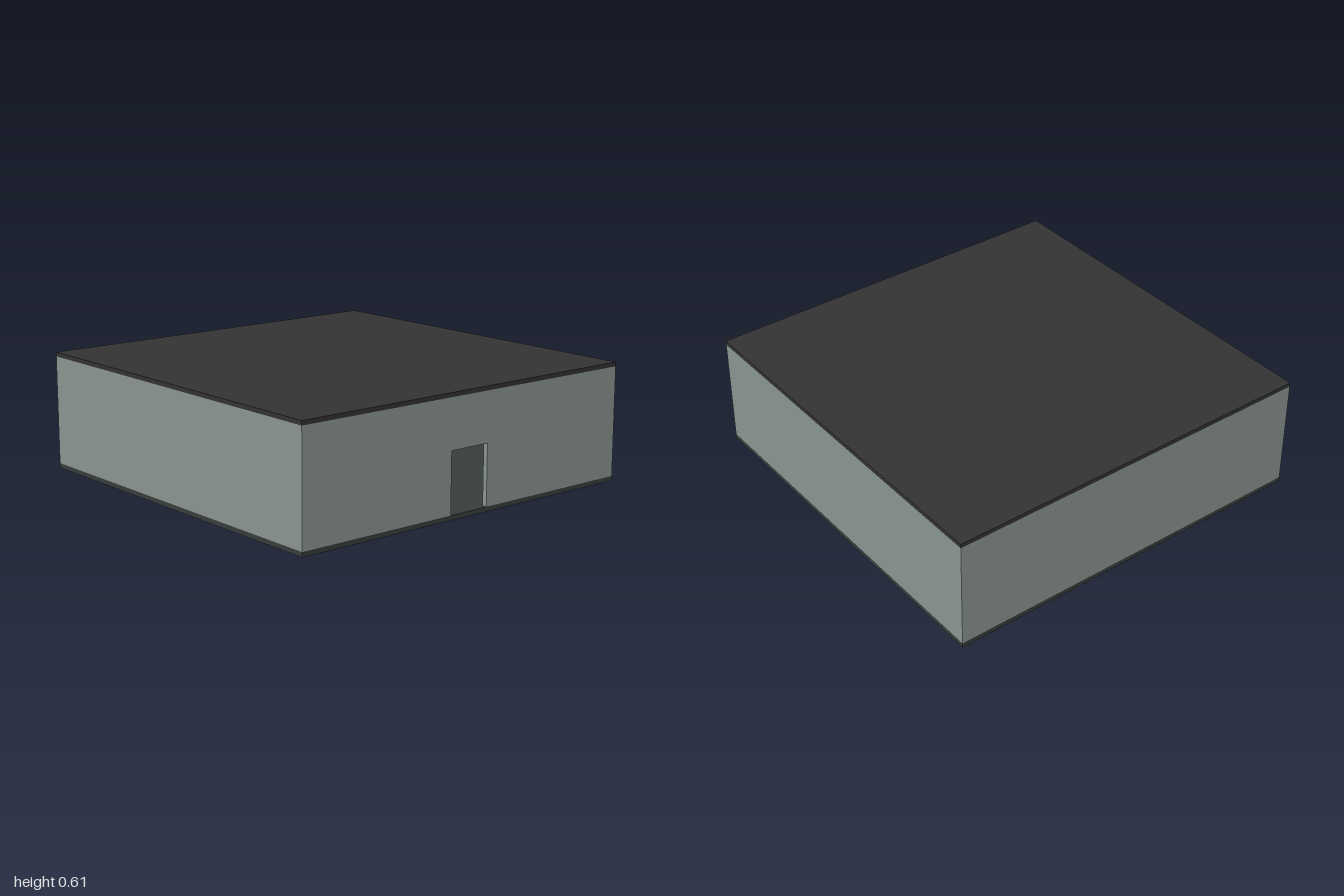
import * as THREE from 'three';

const FLOOR = 0.025, CEILING = 0.588, TOP = 0.61, WALL = 0.025;

const material = (color) => new THREE.MeshStandardMaterial({ color });

export function createModel() {
  const model = new THREE.Group();
  model.name = 'building';
  const wallMat = material(0x8a9592);
  const roofMat = material(0x333333);
  const floorMat = material(0x373e3c);
  const deskMat = material(0x2c3134);
  const tealMat = material(0x1a3030);
  const brownMat = material(0x3a241a);

  // Box given by its size, its base height and its centre in plan
  function box(name, mat, w, h, d, x, y, z, parent = model) {
    const mesh = new THREE.Mesh(new THREE.BoxGeometry(w, h, d), mat);
    mesh.name = name;
    mesh.position.set(x, y + h / 2, z);
    parent.add(mesh);
    return mesh;
  }

  // Slabs
  box('floor', floorMat, 2, FLOOR, 2, 0, 0, 0);
  box('roof', roofMat, 2, TOP - CEILING, 2, 0, CEILING, 0);

  // Plain walls: back and two sides
  const height = CEILING - FLOOR, edge = 1 - WALL / 2;
  box('backWall', wallMat, 2, height, WALL, 0, FLOOR, -edge);
  for (const [name, side] of [['leftWall', 1], ['rightWall', -1]]) {
    box(name, wallMat, WALL, height, 2 - 2 * WALL, side * edge, FLOOR, 0);
  }

  // Front wall with a doorway cut up from the floor
  const half = 0.115, doorTop = 0.335;
  const outline = new THREE.Shape([
    [-1, FLOOR], [-half, FLOOR], [-half, doorTop], [half, doorTop],
    [half, FLOOR], [1, FLOOR], [1, CEILING], [-1, CEILING],
  ].map(([x, y]) => new THREE.Vector2(x, y)));
  const front = new THREE.Mesh(
    new THREE.ExtrudeGeometry(outline, { depth: WALL, bevelEnabled: false }), wallMat);
  front.name = 'frontWall';
  front.position.z = 1 - WALL;
  model.add(front);

  // Counter facing the doorway
  const counter = new THREE.Group();
  counter.name = 'counter';
  counter.position.z = -0.35;
  model.add(counter);
  box('counterBody', deskMat, 0.56, 0.12, 0.16, 0, FLOOR, 0, counter);
  box('counterTop', wallMat, 0.6, 0.018, 0.2, 0, 0.147, 0, counter);

  // Low backrest behind the counter with a tapered centre panel
  box('backrest', tealMat, 0.5, 0.175, 0.03, 0, FLOOR, -0.2, counter);
  const panel = new THREE.Shape([
    [-0.045, 0.165], [0.045, 0.165], [0.055, 0.2], [-0.055, 0.2],
  ].map(([x, y]) => new THREE.Vector2(x, y)));
  const centre = new THREE.Mesh(
    new THREE.ExtrudeGeometry(panel, { depth: 0.015, bevelEnabled: false }), brownMat);
  centre.name = 'backrestPanel';
  centre.position.z = -0.19;
  counter.add(centre);

  return model;
}
